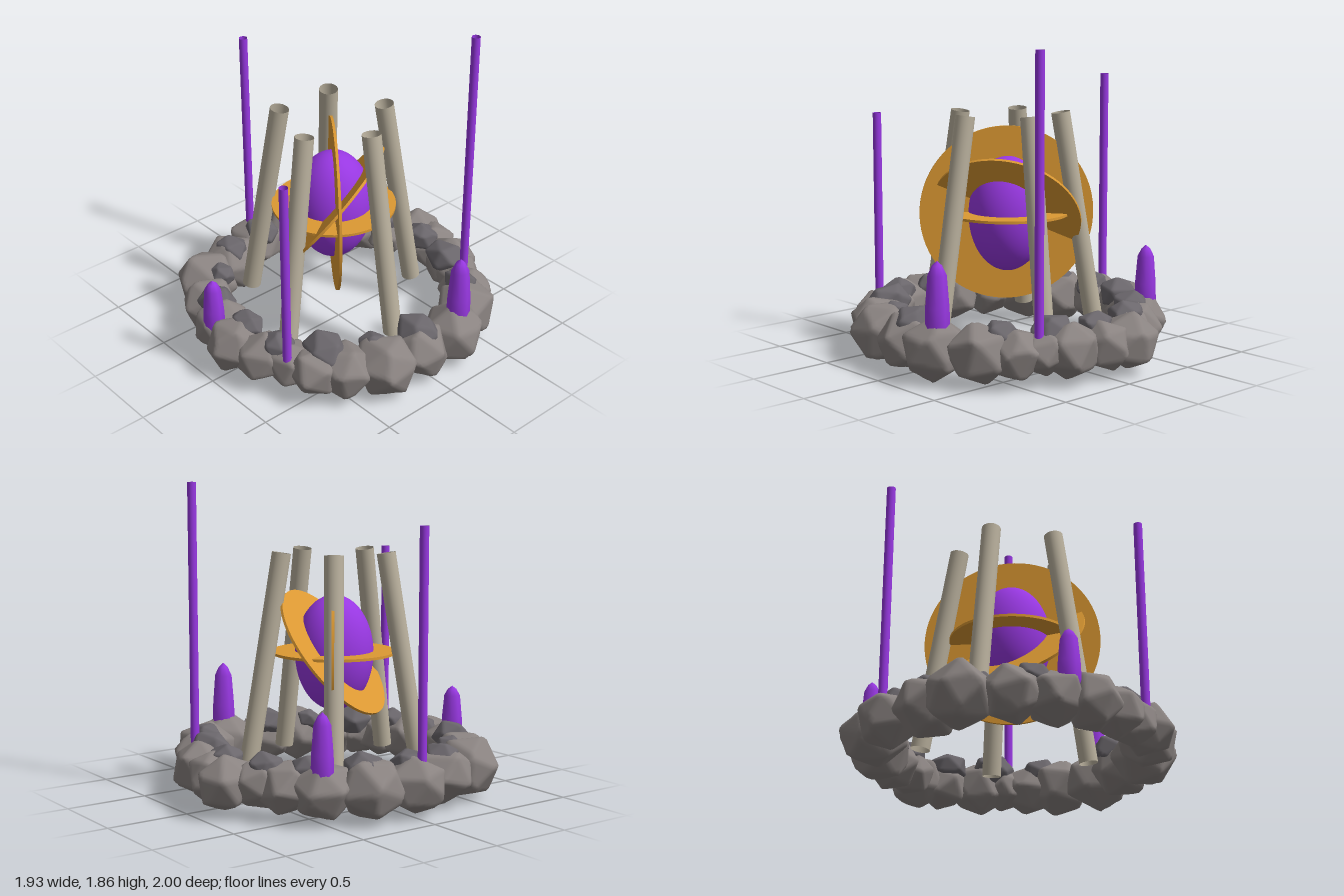
import * as THREE from 'three';
import { mergeVertices } from 'three/addons/utils/BufferGeometryUtils.js';

const CX = -0.01, CZ = 0.03; // shared axis of columns, rods and discs
const material = (color, extra = {}) => new THREE.MeshStandardMaterial({ color, ...extra });

function seeded(seed) {
  return () => {
    seed = (seed * 16807) % 2147483647;
    return seed / 2147483647;
  };
}

// Angular stone with softened edges: a sphere cut by twenty uneven planes
function stoneGeometry(rand) {
  const corners = new THREE.IcosahedronGeometry(1, 0).attributes.position;
  const planes = [];
  const v = new THREE.Vector3();
  for (let i = 0; i < corners.count; i += 3) {
    const n = new THREE.Vector3();
    for (let k = 0; k < 3; k++) n.add(v.fromBufferAttribute(corners, i + k));
    n.normalize().add(v.set(rand() - 0.5, rand() - 0.5, rand() - 0.5).multiplyScalar(0.22));
    planes.push(n.normalize().divideScalar(0.85 + rand() * 0.11));
  }
  const sphere = new THREE.IcosahedronGeometry(1, 8);
  sphere.deleteAttribute('normal');
  sphere.deleteAttribute('uv');
  const geo = mergeVertices(sphere);
  const pos = geo.attributes.position;
  for (let i = 0; i < pos.count; i++) {
    v.fromBufferAttribute(pos, i);
    const sum = planes.reduce((s, n) => s + Math.max(0, n.dot(v)) ** 90, 0);
    v.multiplyScalar(Math.min(1.2, sum ** (-1 / 90)));
    pos.setXYZ(i, v.x, v.y, v.z);
  }
  geo.rotateX(rand() * 6).rotateY(rand() * 6);
  geo.computeVertexNormals();
  return geo;
}

// Open tube between two points
function tube(name, from, to, radius, mat) {
  const dir = to.clone().sub(from);
  const mesh = new THREE.Mesh(new THREE.CylinderGeometry(radius, radius, dir.length(), 24, 1, true), mat);
  mesh.name = name;
  mesh.position.copy(from).add(to).multiplyScalar(0.5);
  mesh.quaternion.setFromUnitVectors(new THREE.Vector3(0, 1, 0), dir.normalize());
  return mesh;
}

const polar = (radius, angle, y) =>
  new THREE.Vector3(CX + radius * Math.cos(angle), y, CZ - radius * Math.sin(angle));

export function createModel() {
  const model = new THREE.Group();
  const rand = seeded(4217);

  // Ring of boulders: x, z, radius
  const boulders = [
    [-0.16, -0.84, 0.16], [0, -0.81, 0.15], [0.23, -0.76, 0.16], [0.37, -0.69, 0.13],
    [0.51, -0.61, 0.15], [0.65, -0.47, 0.17], [0.77, -0.24, 0.18], [0.76, 0.03, 0.165],
    [0.74, 0.29, 0.18], [0.62, 0.49, 0.16], [0.51, 0.63, 0.15], [0.36, 0.69, 0.14],
    [0.2, 0.77, 0.15], [0, 0.83, 0.16], [-0.2, 0.76, 0.16], [-0.42, 0.69, 0.16],
    [-0.65, 0.54, 0.18], [-0.71, 0.29, 0.17], [-0.8, 0.02, 0.165], [-0.75, -0.25, 0.18],
    [-0.61, -0.48, 0.17], [-0.45, -0.62, 0.15], [-0.3, -0.7, 0.14],
  ];
  // Smaller dark rocks lying on the boulders
  const rocks = [
    [0, -0.73, 0.1], [0.28, -0.67, 0.12], [0.55, -0.53, 0.105], [0.72, 0.02, 0.125],
    [0.64, 0.3, 0.08], [0.5, 0.55, 0.125], [0.28, 0.72, 0.1], [0, 0.73, 0.1],
    [-0.3, 0.72, 0.11], [-0.52, 0.52, 0.08], [-0.7, 0.3, 0.105], [-0.75, 0.02, 0.11],
    [-0.7, -0.26, 0.12], [-0.52, -0.52, 0.105], [-0.32, -0.67, 0.105],
  ];
  const stoneRing = new THREE.Group();
  stoneRing.name = 'stoneRing';
  const addStones = (name, list, y, [sx, sy, sz], color) => {
    const mat = material(color);
    for (const [x, z, r] of list) {
      const stone = new THREE.Mesh(stoneGeometry(rand), mat);
      stone.name = name;
      stone.position.set(x, y, z);
      stone.scale.set(r * sx, r * sy, r * sz);
      stoneRing.add(stone);
    }
  };
  addStones('boulder', boulders, 0.18, [1.03, 0.96, 1.03], 0x8a8381);
  addStones('rock', rocks, 0.275, [1.1, 0.84, 0.93], 0x6a666b);
  model.add(stoneRing);

  // Five hollow columns leaning inward
  const columnMat = material(0xb9b09d, { side: THREE.DoubleSide });
  for (let i = 0; i < 5; i++) {
    const a = (i * Math.PI * 2) / 5;
    model.add(tube('column', polar(0.535, a, 0.17), polar(0.325, a, 1.44), 0.057, columnMat));
  }

  // Three slim rods of rising height
  const purple = 0x9838e2;
  const rodMat = material(purple, { side: THREE.DoubleSide });
  [[-60, 1.415], [180, 1.635], [60, 1.855]].forEach(([deg, top]) => {
    const a = THREE.MathUtils.degToRad(deg);
    model.add(tube('rod', polar(0.84, a, 0.2), polar(0.84, a, top), 0.026, rodMat));
  });

  // Tapered crystals: x, z, radius, height
  const crystalProfile = [[0, 0], [0.7, 0.08], [1, 0.25], [0.95, 0.5], [0.75, 0.85], [0.4, 0.95], [0, 1]]
    .map(([x, y]) => new THREE.Vector2(x, y));
  const crystalMat = material(purple);
  [[-0.16, 0.85, 0.066, 0.4], [-0.655, -0.52, 0.066, 0.47], [0.78, -0.265, 0.072, 0.53]]
    .forEach(([x, z, r, h]) => {
      const crystal = new THREE.Mesh(new THREE.LatheGeometry(crystalProfile, 8), crystalMat);
      crystal.name = 'crystal';
      crystal.position.set(x, 0.16, z);
      crystal.scale.set(r, h, r);
      model.add(crystal);
    });

  // Tall orb in the middle
  const orb = new THREE.Mesh(new THREE.SphereGeometry(1, 48, 32), material(purple));
  orb.name = 'orb';
  orb.position.set(-0.015, 0.83, CZ);
  orb.scale.set(0.237, 0.35, 0.237);
  model.add(orb);

  // Thin golden discs crossing the orb: radius and axis
  const gold = material(0xdc9933);
  [[0.375, [0, 1, 0]], [0.455, [-0.65, 0.62, 0.43]], [0.527, [0.6, 0, -0.8]]].forEach(([r, axis]) => {
    const disc = new THREE.Mesh(new THREE.CylinderGeometry(r, r, 0.016, 72), gold);
    disc.name = 'orbitDisc';
    disc.position.set(CX, 0.835, CZ);
    disc.quaternion.setFromUnitVectors(new THREE.Vector3(0, 1, 0), new THREE.Vector3(...axis).normalize());
    model.add(disc);
  });

  return model;
}
